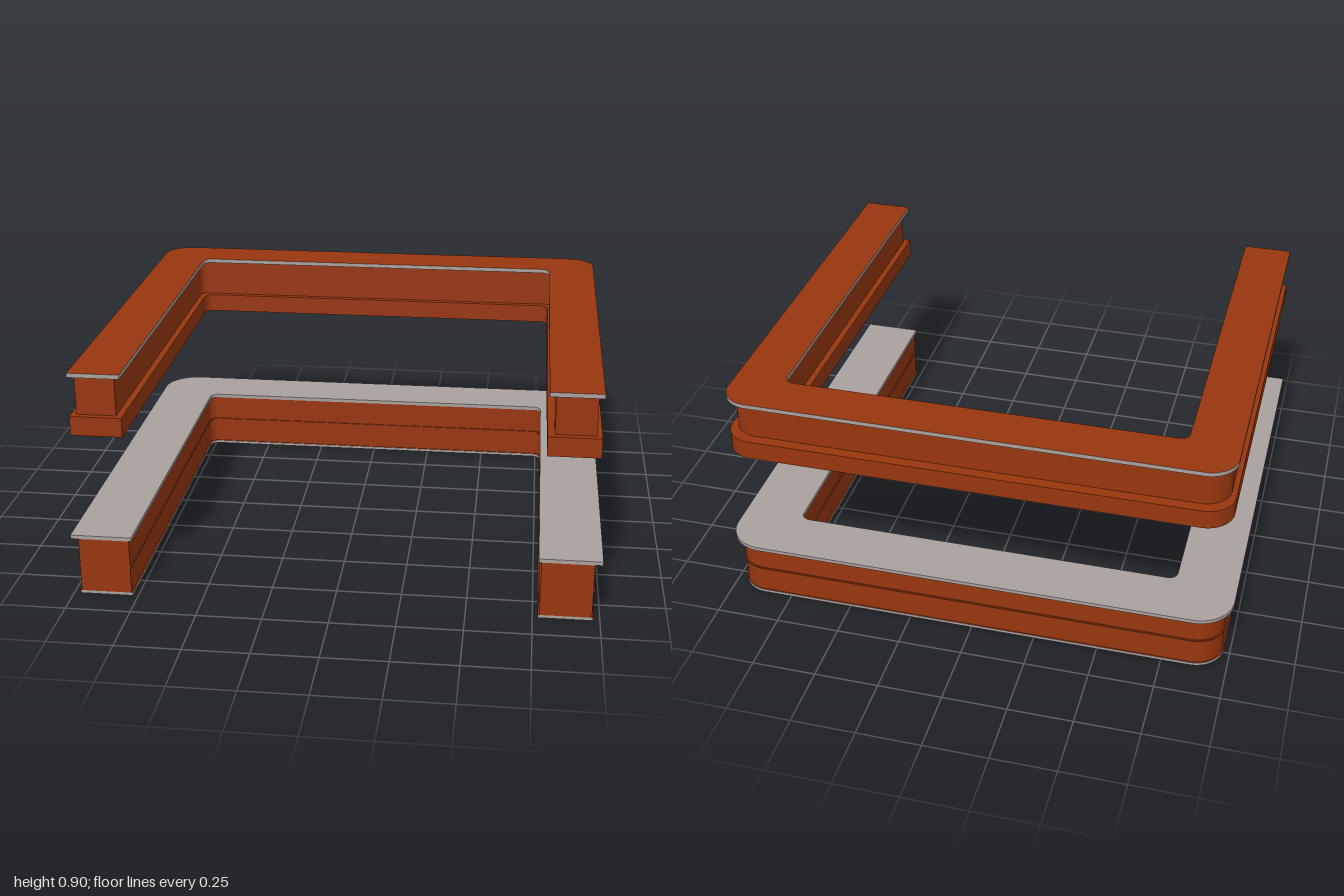
import * as THREE from 'three';
import { toCreasedNormals } from 'three/addons/utils/BufferGeometryUtils.js';

const wood = new THREE.MeshStandardMaterial({ color: 0x98360f });
wood.name = 'red wood';
const grey = new THREE.MeshStandardMaterial({ color: 0xaaa19e });
grey.name = 'warm grey';

// U-shaped slab, open to the front: outer/inner half widths, back/inner-back depths, front end
function slab(name, y0, y1, u, faces, edges = faces) {
  const { outer, inner, back, innerBack, front, r, ri } = u;
  const s = new THREE.Shape();
  s.moveTo(outer, -front);
  s.lineTo(outer, back - r);
  s.absarc(outer - r, back - r, r, 0, Math.PI / 2, false);
  s.lineTo(-outer + r, back);
  s.absarc(-outer + r, back - r, r, Math.PI / 2, Math.PI, false);
  s.lineTo(-outer, -front);
  s.lineTo(-inner, -front);
  s.lineTo(-inner, innerBack - ri);
  s.absarc(-inner + ri, innerBack - ri, ri, Math.PI, Math.PI / 2, true);
  s.lineTo(inner - ri, innerBack);
  s.absarc(inner - ri, innerBack - ri, ri, Math.PI / 2, 0, true);
  s.lineTo(inner, -front);
  s.closePath();
  let g = new THREE.ExtrudeGeometry(s, { depth: y1 - y0, bevelEnabled: false, curveSegments: 12 });
  g.rotateX(-Math.PI / 2);
  g.translate(0, y0, 0);
  g = toCreasedNormals(g, 0.6);
  const mesh = new THREE.Mesh(g, [faces, edges]);
  mesh.name = name;
  return mesh;
}

export function createModel() {
  const model = new THREE.Group();
  model.name = 'uShapedCounter';

  const body = { outer: 0.97, inner: 0.775, back: 0.845, innerBack: 0.66, front: 0.874, r: 0.11, ri: 0.035 };
  const trim = { ...body, outer: 0.975, inner: 0.77, back: 0.85, innerBack: 0.655, r: 0.115 };
  const top = { ...body, outer: 1, inner: 0.765, back: 0.875, innerBack: 0.655, front: 0.875, r: 0.14 };
  const neck = { outer: 0.95, inner: 0.8, back: 0.802, innerBack: 0.685, front: 0.85, r: 0.1, ri: 0.03 };

  // Lower counter
  const counter = new THREE.Group();
  counter.name = 'counter';
  counter.add(
    slab('counterFoot', 0, 0.012, trim, wood, grey),
    slab('counterBody', 0.012, 0.23, body, wood),
    slab('counterMiddleStrip', 0.118, 0.124, trim, wood),
    slab('counterTop', 0.23, 0.245, top, grey)
  );

  // Hanging upper unit
  const canopy = new THREE.Group();
  canopy.name = 'canopy';
  canopy.add(
    slab('canopyBase', 0.655, 0.73, body, wood),
    slab('canopyBody', 0.73, 0.882, neck, wood),
    slab('canopyTop', 0.882, 0.899, body, wood, grey)
  );

  model.add(counter, canopy);
  return model;
}
